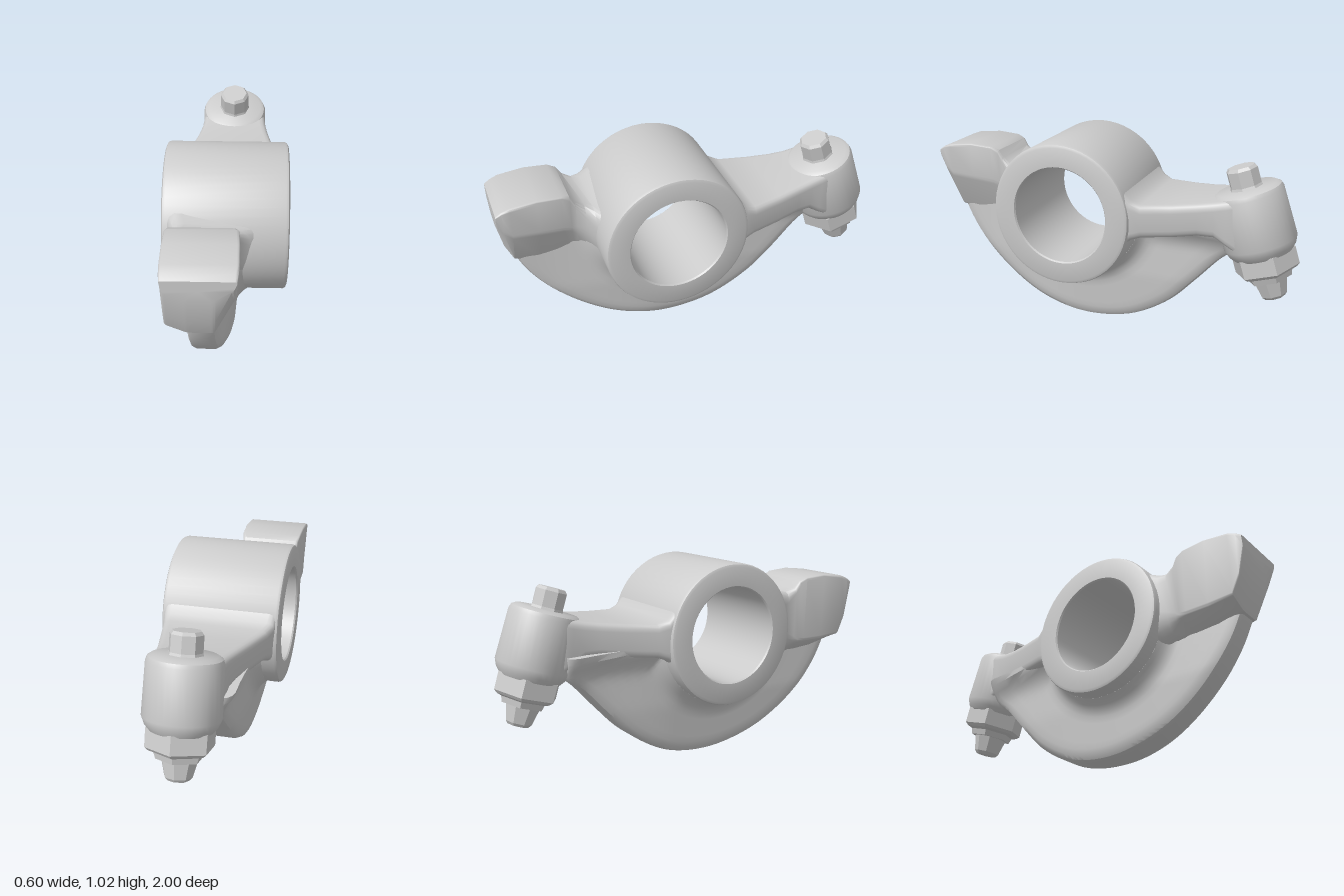
import * as THREE from 'three';
import { toCreasedNormals } from 'three/addons/utils/BufferGeometryUtils.js';

const HUB = { y: 0.657, z: 0.168, outer: 0.368, bore: 0.248 };
const material = new THREE.MeshStandardMaterial({ color: 0xcccccc });

function addMesh(parent, name, geometry, crease = 0.6) {
  const mesh = new THREE.Mesh(toCreasedNormals(geometry, crease), material);
  mesh.name = name;
  parent.add(mesh);
  return mesh;
}

// Skin a list of closed rings, capping both ends
function skin(rings) {
  const n = rings[0].length, m = rings.length;
  const positions = rings.flat(2), index = [];
  for (let i = 0; i < m - 1; i++) {
    for (let j = 0; j < n; j++) {
      const a = i * n + j, b = i * n + (j + 1) % n;
      index.push(a, a + n, b, b, a + n, b + n);
    }
  }
  [0, m - 1].forEach((i) => {
    const centre = positions.length / 3;
    for (let k = 0; k < 3; k++) positions.push(rings[i].reduce((s, p) => s + p[k], 0) / n);
    for (let j = 0; j < n; j++) {
      const a = i * n + j, b = i * n + (j + 1) % n;
      if (i === 0) index.push(centre, a, b); else index.push(centre, b, a);
    }
  });
  const g = new THREE.BufferGeometry();
  g.setAttribute('position', new THREE.Float32BufferAttribute(positions, 3));
  g.setIndex(index);
  return g;
}

// Closed ring at depth z from polygon corners, each corner rounded
function roundedRing(z, corners, radius) {
  const pts = corners.map(([x, y]) => new THREE.Vector2(x, y)), n = pts.length;
  return pts.flatMap((p, i) => {
    const toward = (q) => p.clone().lerp(q, Math.min(0.45, radius / p.distanceTo(q)));
    const bend = new THREE.QuadraticBezierCurve(toward(pts[(i + n - 1) % n]), p, toward(pts[(i + 1) % n]));
    return bend.getPoints(4).map((q) => [q.x, q.y, z]);
  });
}

function lathe(points, segments) {
  return new THREE.LatheGeometry(points.map(([r, y]) => new THREE.Vector2(r, y)), segments);
}

// Curved web below the hub, with fillets at its root and a rounded rim
function webGeometry() {
  const outline = new THREE.CatmullRomCurve3([
    [0.96, 0.68], [0.93, 0.56], [0.85, 0.4], [0.7, 0.23], [0.5, 0.095], [0.3, 0.025], [0.1, 0.002],
    [-0.12, 0.04], [-0.33, 0.16], [-0.48, 0.31], [-0.6, 0.44], [-0.68, 0.51], [-0.7, 0.62],
  ].map(([z, y]) => new THREE.Vector3(0, y, z)));
  const { clamp, lerp, smoothstep } = THREE.MathUtils;
  const rings = outline.getSpacedPoints(60).map((p) => {
    const dz = p.z - HUB.z, dy = p.y - HUB.y, length = Math.hypot(dz, dy);
    const radii = [0.3, 0.368, 0.38, 0.395, 0.415, 0.445, 0.48];
    for (let k = 1; k <= 4; k++) radii.push(lerp(0.48, length - 0.06, k / 4));
    const side = (sign) => {
      const at = (r, squeeze) => {
        const z = HUB.z + dz * r / length, y = HUB.y + dy * r / length;
        const left = lerp(-0.163, -0.13, smoothstep(-z, 0.1, 0.6));
        const right = lerp(0.065, -0.025, smoothstep(z, 0.2, 0.93));
        const taper = 0.025 * clamp((0.3 - y) / 0.3, 0, 1);
        const hubFillet = 0.055 * clamp(1 - (r - HUB.outer) / 0.08, 0, 1) ** 2;
        const armFillet = z < -0.15 ? 0.06 * clamp(1 - (0.6 - y) / 0.13, 0, 1) ** 2 : 0;
        const half = (right - left) / 2 - taper + Math.max(hubFillet, armFillet);
        return [(left + right) / 2 + sign * half * squeeze, y, z];
      };
      return [...radii.map((r) => at(r, 1)),
        at(length - 0.03, 0.95), at(length - 0.01, 0.83), at(length, 0.58)];
    };
    return [...side(-1), ...side(1).reverse()];
  });
  return skin(rings);
}

export function createModel() {
  const model = new THREE.Group();
  model.name = 'rockerArm';

  // Pivot hub with through bore
  const { outer: R, bore: B } = HUB, w = 0.3, c = 0.018;
  const hub = lathe([
    [B + 0.006, -w], [R - c, -w], [R - 0.005, -w + 0.006], [R, -w + c],
    [R, w - c], [R - 0.005, w - 0.006], [R - c, w], [B + 0.006, w],
    [B, w - 0.008], [B, -w + 0.008], [B + 0.006, -w],
  ], 56);
  hub.rotateZ(Math.PI / 2);
  addMesh(model, 'pivotHub', hub).position.set(0, HUB.y, HUB.z);

  addMesh(model, 'curvedWeb', webGeometry());

  // Contact pad and neck: z, left and right x, top y at each side, flank y at each side, keel y, rounding
  addMesh(model, 'contactPad', skin([
    [1.0, -0.262, 0.068, 0.865, 0.865, 0.8, 0.82, 0.76, 0.012],
    [0.97, -0.265, 0.072, 0.885, 0.885, 0.66, 0.76, 0.62, 0.015],
    [0.93, -0.267, 0.075, 0.9, 0.9, 0.575, 0.73, 0.53, 0.015],
    [0.8, -0.267, 0.075, 0.915, 0.915, 0.56, 0.72, 0.5, 0.015],
    [0.68, -0.265, 0.07, 0.907, 0.907, 0.56, 0.71, 0.49, 0.015],
    [0.64, -0.26, 0.062, 0.89, 0.89, 0.56, 0.7, 0.49, 0.02],
    [0.615, -0.255, 0.06, 0.855, 0.85, 0.56, 0.68, 0.48, 0.03],
    [0.57, -0.252, 0.078, 0.84, 0.82, 0.55, 0.65, 0.47, 0.06],
    [0.53, -0.265, 0.125, 0.85, 0.8, 0.54, 0.61, 0.45, 0.08],
    [0.49, -0.28, 0.2, 0.865, 0.79, 0.53, 0.57, 0.44, 0.08],
    [0.44, -0.285, 0.25, 0.885, 0.79, 0.51, 0.54, 0.43, 0.08],
  ].map(([z, x0, x1, topL, topR, flankL, flankR, keel, r]) => roundedRing(z, [
    [-0.035, keel], [x1 - 0.015, flankR], [x1, topR], [x0, topL], [x0 + 0.012, flankL], [-0.155, keel],
  ], r))));

  // Tapering rear arm: z, x range, y range
  addMesh(model, 'rearArm', skin([
    [-0.11, -0.29, 0.29, 0.47, 0.88],
    [-0.16, -0.29, 0.29, 0.53, 0.815],
    [-0.2, -0.285, 0.287, 0.565, 0.77],
    [-0.25, -0.262, 0.275, 0.58, 0.752],
    [-0.4, -0.215, 0.243, 0.592, 0.762],
    [-0.52, -0.18, 0.217, 0.608, 0.775],
    [-0.6, -0.163, 0.203, 0.605, 0.787],
    [-0.66, -0.157, 0.197, 0.565, 0.8],
    [-0.72, -0.153, 0.193, 0.53, 0.815],
    [-0.78, -0.13, 0.17, 0.54, 0.82],
  ].map(([z, x0, x1, y0, y1]) => roundedRing(z, [
    [x1 - 0.012, y0], [x1, y1], [x0, y1], [x0 + 0.012, y0],
  ], 0.04))));

  // Tilted adjuster: boss, hexagonal nut and screw share one axis
  const adjuster = new THREE.Group();
  adjuster.name = 'adjuster';
  adjuster.position.set(0.02, 0.83, -0.714);
  adjuster.rotation.x = 0.305;
  model.add(adjuster);
  addMesh(adjuster, 'adjusterBoss', lathe([
    [0, -0.34], [0.15, -0.34], [0.17, -0.315], [0.184, -0.28],
    [0.178, -0.03], [0.17, -0.01], [0.15, 0.003], [0, 0.003],
  ], 36));
  addMesh(adjuster, 'lockNut', lathe([
    [0, -0.475], [0.112, -0.475], [0.122, -0.445], [0.148, -0.435], [0.165, -0.42],
    [0.165, -0.33], [0, -0.33],
  ], 6), 0.3);
  addMesh(adjuster, 'screwTip', lathe([
    [0, -0.575], [0.055, -0.575], [0.068, -0.56], [0.09, -0.47], [0, -0.47],
  ], 8), 0.3);
  addMesh(adjuster, 'screwHead', lathe([
    [0, -0.02], [0.092, -0.02], [0.08, 0.015], [0.08, 0.095], [0.068, 0.11], [0, 0.11],
  ], 8), 0.3);

  return model;
}
